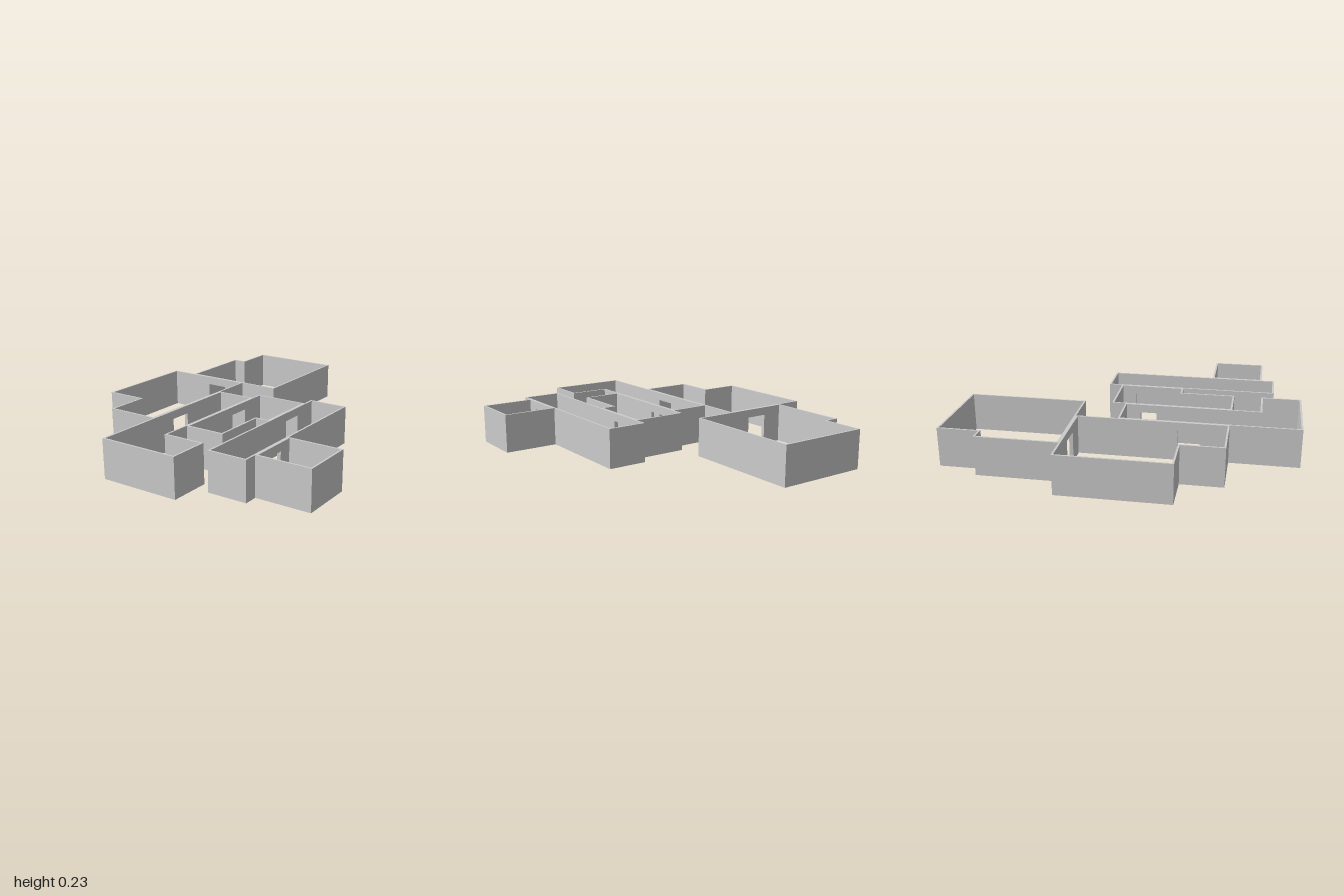
import * as THREE from 'three';

const WALL_HEIGHT = 0.23, THICKNESS = 0.011, DOOR_WIDTH = 0.13, DOOR_HEIGHT = 0.182;

// Outer outlines [x, z], clockwise seen from above; neighbours share a party line
const rooms = {
  backRoom: [[-0.6, -1], [-0.042, -1], [-0.042, -0.283], [-0.68, -0.283], [-0.68, -0.76], [-0.6, -0.76]],
  rightRoom: [[-0.838, -0.283], [-0.283, -0.283], [-0.283, 0.597], [-0.6, 0.597], [-0.6, 0.353], [-0.838, 0.353]],
  hallway: [[-0.283, -0.04], [-0.042, -0.04], [-0.042, 0.76], [0.198, 0.76], [0.198, 1], [-0.283, 1]],
  middleRoom: [[-0.042, -0.12], [0.28, -0.12], [0.28, 0.275], [0.198, 0.275], [0.198, 0.597], [-0.042, 0.597]],
  longRoom: [[0.28, -0.2], [0.515, -0.2], [0.515, 0.835], [0.28, 0.835]],
  leftRoom: [[0.515, 0.44], [0.838, 0.44], [0.838, 0.755], [0.515, 0.755]],
};

// Doorway centres; each cuts the walls of both rooms that meet there
const doors = [[-0.482, -0.283], [-0.283, 0.37], [-0.042, 0.12], [0.28, 0.04], [0.515, 0.6]]
  .map(([x, z]) => new THREE.Vector2(x, z));

// Wall elevation from start to end, notched at each doorway
function wallShape(start, end, doorCentres) {
  const shape = new THREE.Shape();
  shape.moveTo(start, 0);
  for (const c of doorCentres) {
    const a = c - DOOR_WIDTH / 2, b = c + DOOR_WIDTH / 2;
    shape.lineTo(a, 0);
    shape.lineTo(a, DOOR_HEIGHT);
    shape.lineTo(b, DOOR_HEIGHT);
    shape.lineTo(b, 0);
  }
  shape.lineTo(end, 0);
  shape.lineTo(end, WALL_HEIGHT);
  shape.lineTo(start, WALL_HEIGHT);
  shape.closePath();
  return shape;
}

function makeRoom(name, outline, material) {
  const room = new THREE.Group();
  room.name = name;
  const n = outline.length;
  const pts = outline.map(([x, z]) => new THREE.Vector2(x, z));
  const dirs = pts.map((p, i) => pts[(i + 1) % n].clone().sub(p).normalize());
  const isConvex = (i) => dirs[(i + n - 1) % n].cross(dirs[i % n]) > 0;

  pts.forEach((p, i) => {
    const dir = dirs[i];
    const length = p.distanceTo(pts[(i + 1) % n]);
    // Each wall fills the corner at its end, so walls butt without overlap
    const start = isConvex(i) ? THICKNESS : 0;
    const end = isConvex(i + 1) ? length : length + THICKNESS;
    const centres = doors
      .map((d) => d.clone().sub(p))
      .filter((d) => Math.abs(dir.cross(d)) < 0.002 && dir.dot(d) > 0 && dir.dot(d) < length)
      .map((d) => dir.dot(d))
      .sort((a, b) => a - b);
    const geometry = new THREE.ExtrudeGeometry(wallShape(start, end, centres), { depth: THICKNESS, bevelEnabled: false });
    const wall = new THREE.Mesh(geometry, material);
    wall.name = centres.length ? 'wallWithDoorway' : 'wall';
    wall.position.set(p.x, 0, p.y);
    wall.rotation.y = Math.atan2(-dir.y, dir.x);
    room.add(wall);
  });
  return room;
}

export function createModel() {
  const model = new THREE.Group();
  model.name = 'floorPlan';
  const material = new THREE.MeshStandardMaterial({ color: 0xcccccc });
  for (const [name, outline] of Object.entries(rooms)) model.add(makeRoom(name, outline, material));
  return model;
}
